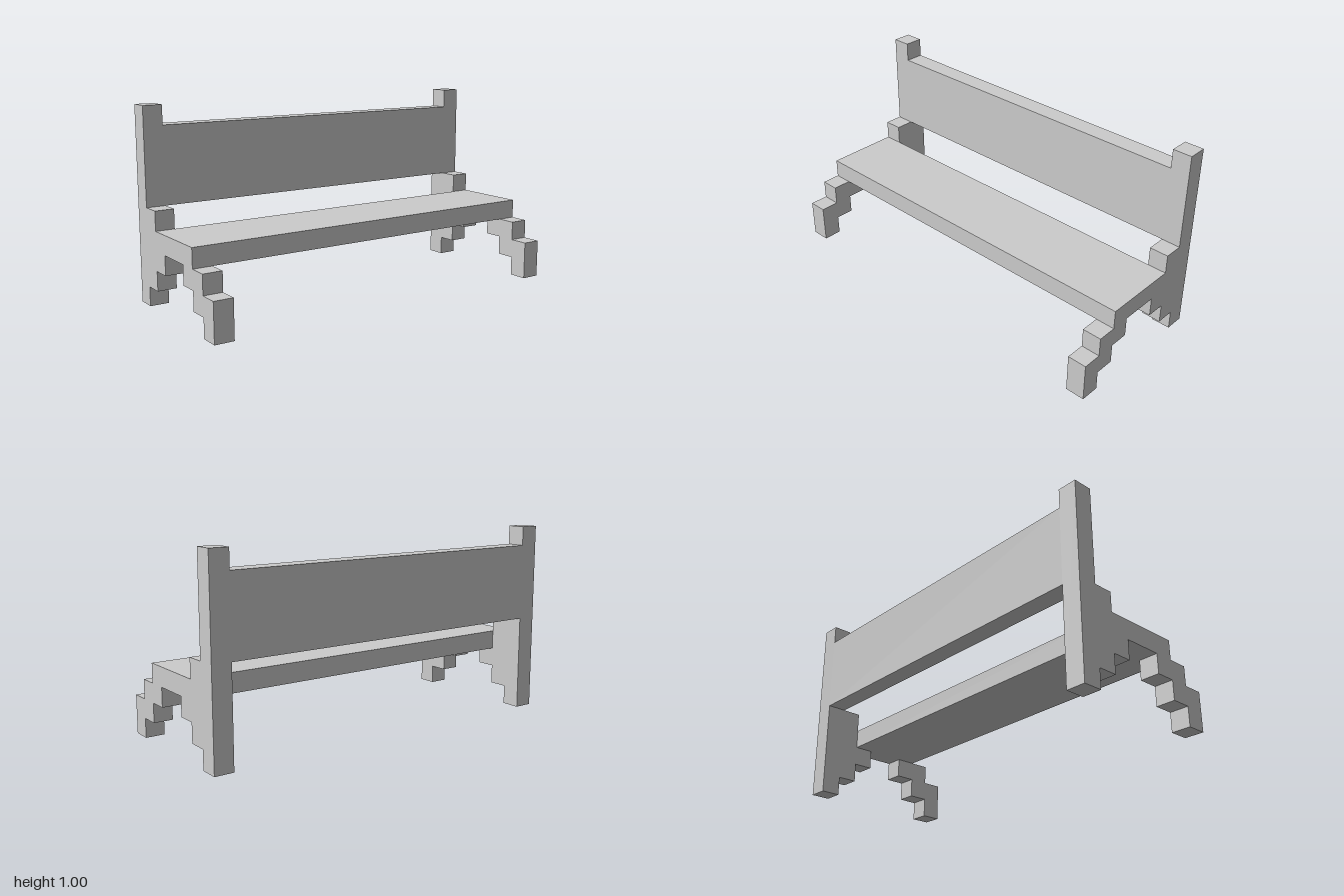
import * as THREE from 'three';

const THICKNESS = 0.1;

// Stepped outlines as [z, y] points
const FRONT_LEG = [
  [0.4, 0], [0.4, 0.2], [0.3, 0.2], [0.3, 0.3], [0.1, 0.3],
  [0.1, 0.2], [0.2, 0.2], [0.2, 0.1], [0.3, 0.1], [0.3, 0],
];
const REAR_POST = [
  [-0.4, 0], [-0.3, 0], [-0.3, 0.1], [-0.2, 0.1], [-0.2, 0.2], [-0.1, 0.2],
  [-0.1, 0.3], [-0.2, 0.3], [-0.2, 0.5], [-0.3, 0.5], [-0.3, 1], [-0.4, 1],
];

export function createModel() {
  const group = new THREE.Group();
  group.name = 'bench';
  const material = new THREE.MeshStandardMaterial({ color: 0xcccccc, flatShading: true });

  const add = (name, geometry, x, y, z) => {
    const mesh = new THREE.Mesh(geometry, material);
    mesh.name = name;
    mesh.position.set(x, y, z);
    group.add(mesh);
  };

  // Turns a [z, y] outline into a slab centred on x = 0
  const slab = (points) => {
    const shape = new THREE.Shape(points.map(([z, y]) => new THREE.Vector2(z, y)));
    return new THREE.ExtrudeGeometry(shape, { depth: THICKNESS, bevelEnabled: false })
      .rotateY(-Math.PI / 2)
      .translate(THICKNESS / 2, 0, 0);
  };

  // Seat plank over the full width, backrest between the posts
  add('seat', new THREE.BoxGeometry(2, THICKNESS, 0.4), 0, 0.35, 0);
  add('backrest', new THREE.BoxGeometry(1.8, 0.4, THICKNESS), 0, 0.7, -0.35);

  // Stepped legs and posts at both ends
  const frontLeg = slab(FRONT_LEG);
  const rearPost = slab(REAR_POST);
  for (const [side, x] of [['left', 0.95], ['right', -0.95]]) {
    add(`${side}FrontLeg`, frontLeg, x, 0, 0);
    add(`${side}RearPost`, rearPost, x, 0, 0);
  }

  return group;
}
